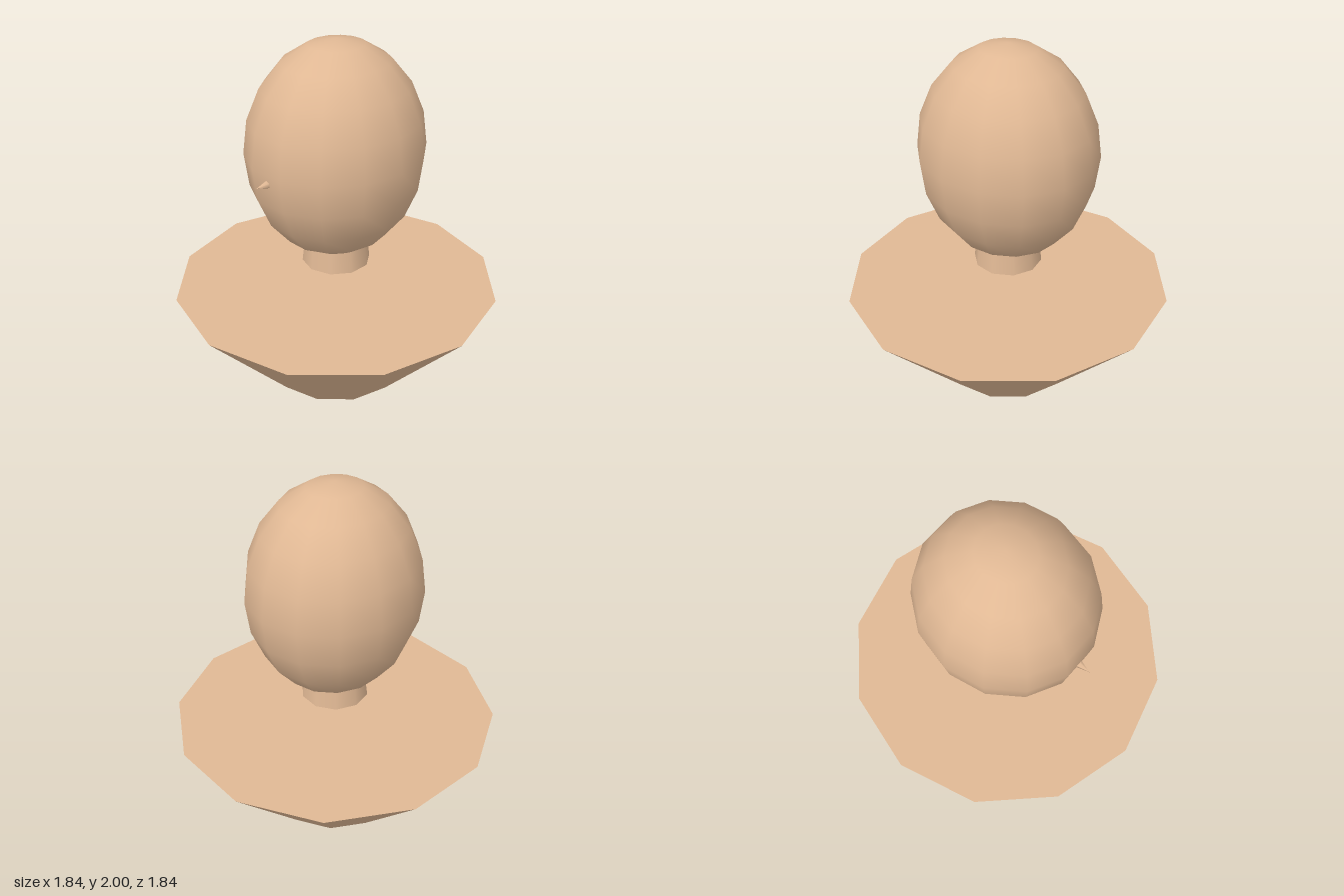
import * as THREE from 'three';

const skin = new THREE.MeshStandardMaterial({ color: 0xe0b894 });
skin.name = 'skin';

function part(name, geometry, x, y, z) {
  const mesh = new THREE.Mesh(geometry, skin);
  mesh.name = name;
  mesh.position.set(x, y, z);
  return mesh;
}

export function createModel() {
  const group = new THREE.Group();
  group.name = 'bust';

  // Flared shoulders, narrow at the floor
  group.add(part('shoulders', new THREE.CylinderGeometry(0.92, 0.405, 0.573, 12), 0, 0.2865, 0));

  // Short tapered neck, its top hidden in the head
  group.add(part('neck', new THREE.CylinderGeometry(0.165, 0.193, 0.235, 10), 0, 0.8325, 0));

  // Egg-shaped head
  const head = part('head', new THREE.SphereGeometry(1, 14, 10), 0, 1.396, 0);
  head.scale.set(0.473, 0.604, 0.51);
  group.add(head);

  // Tiny pointed nose facing forward
  const nose = part('nose', new THREE.ConeGeometry(0.028, 0.09, 6), 0, 1.346, 0.515);
  nose.rotation.x = Math.PI / 2;
  group.add(nose);

  return group;
}
